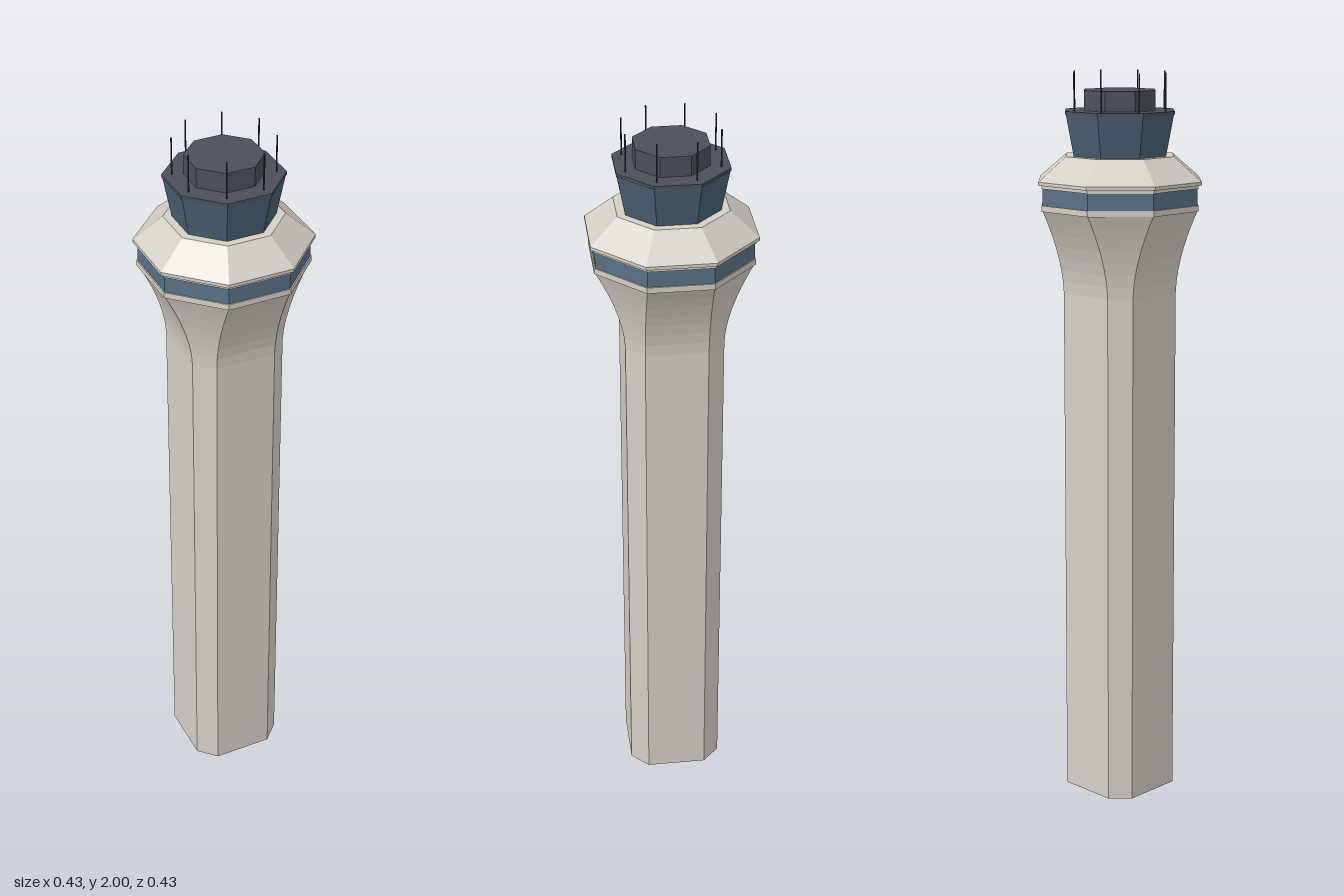
import * as THREE from 'three';

const REG = Math.SQRT2 - 1; // corner offset ratio of a regular octagon

const paint = (color) => new THREE.MeshStandardMaterial({ color, flatShading: true, side: THREE.DoubleSide });

// Eight corners of a square of half-width h whose corners are cut back to c
function ring(y, h, c = h * REG) {
  return [[h, -c], [h, c], [c, h], [-c, h], [-h, c], [-h, -c], [-c, -h], [c, -h]]
    .map(([x, z]) => [x, y, z]);
}

// Skin a stack of [y, halfWidth, cornerOffset] sections
function loft(name, material, sections) {
  const rings = sections.map((s) => ring(...s));
  const pos = [];
  for (let i = 0; i < rings.length - 1; i++) {
    for (let k = 0; k < 8; k++) {
      const n = (k + 1) % 8;
      const a = rings[i][k], b = rings[i][n], c = rings[i + 1][k], d = rings[i + 1][n];
      pos.push(...a, ...c, ...b, ...b, ...c, ...d);
    }
  }
  const geo = new THREE.BufferGeometry();
  geo.setAttribute('position', new THREE.Float32BufferAttribute(pos, 3));
  geo.computeVertexNormals();
  const mesh = new THREE.Mesh(geo, material);
  mesh.name = name;
  return mesh;
}

export function createModel() {
  const tower = new THREE.Group();
  tower.name = 'controlTower';
  const concrete = paint(0xd3cec4);
  const bandGlass = paint(0x587187);
  const cabGlass = paint(0x4a6075);
  const roofing = paint(0x4b5058);
  const metal = paint(0x33373c);

  // Shaft in eight lifts, open at the bottom
  const corner = 0.083, shaftTop = 1.415;
  const shaft = [];
  for (let i = 0; i <= 8; i++) shaft.push([(shaftTop * i) / 8, 0.13, corner]);
  tower.add(loft('shaft', concrete, shaft));

  // Flare: the broad faces keep their width while the corners open out
  const flare = [];
  for (let i = 0; i <= 7; i++) {
    const t = i / 7;
    flare.push([shaftTop + 0.225 * t, 0.13 + 0.074 * Math.pow(t, 1.7), corner + 0.0015 * t]);
  }
  tower.add(loft('flare', concrete, flare));

  // Gallery: sill, window band, lintel
  tower.add(loft('gallerySill', concrete, [[1.64, 0.204], [1.64, 0.207], [1.656, 0.207], [1.656, 0.203]]));
  tower.add(loft('galleryWindows', bandGlass, [[1.656, 0.204], [1.7, 0.204]]));
  tower.add(loft('galleryLintel', concrete, [[1.7, 0.203], [1.7, 0.207], [1.709, 0.207]]));

  // Sloping gallery roof with a thin eave
  tower.add(loft('galleryRoof', concrete,
    [[1.709, 0.2], [1.709, 0.215], [1.718, 0.215], [1.782, 0.143], [1.782, 0]]));

  // Control cab leaning outwards, with its roof slab and penthouse
  tower.add(loft('cabWindows', cabGlass, [[1.782, 0.122], [1.892, 0.142]]));
  tower.add(loft('cabRoof', roofing, [[1.892, 0.14], [1.892, 0.144], [1.9, 0.144], [1.9, 0]]));
  tower.add(loft('penthouse', roofing, [[1.9, 0.094], [1.953, 0.094], [1.953, 0]]));

  // One antenna near each roof corner
  const rod = new THREE.CylinderGeometry(0.002, 0.002, 0.1, 6);
  for (const [x, y, z] of ring(1.95, 0.12, 0.05)) {
    const antenna = new THREE.Mesh(rod, metal);
    antenna.position.set(x, y, z);
    antenna.name = 'antenna';
    tower.add(antenna);
  }
  return tower;
}
